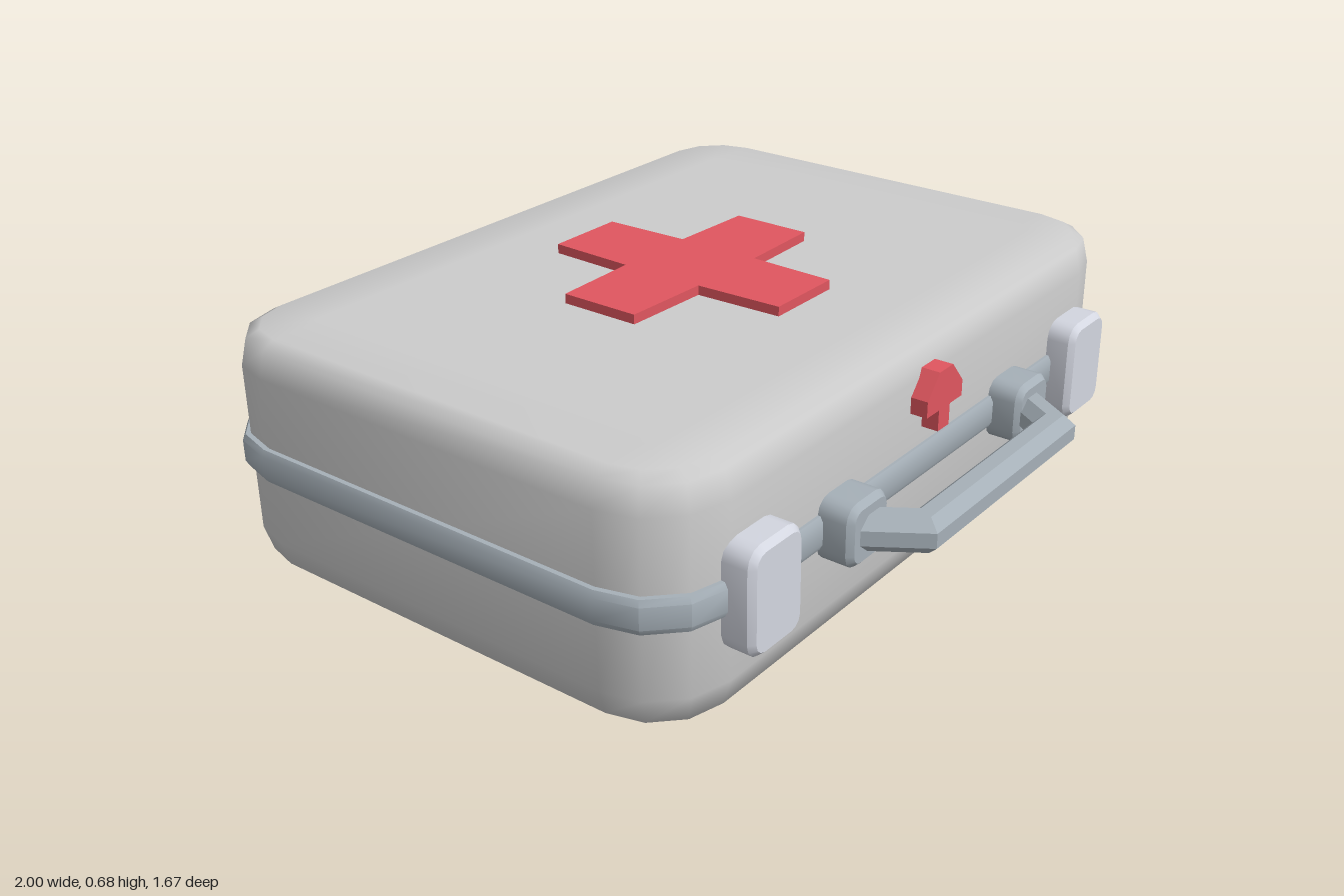
import * as THREE from 'three';
import { toCreasedNormals } from 'three/addons/utils/BufferGeometryUtils.js';

const material = (color) => new THREE.MeshStandardMaterial({ color });

// Skin a list of equal-length rings of points, closing both ends with fans
function loft(rings, crease) {
  const n = rings[0].length;
  const pos = [], index = [];
  rings.forEach((ring) => ring.forEach((p) => pos.push(p.x, p.y, p.z)));
  for (let i = 0; i < rings.length - 1; i++) {
    for (let j = 0; j < n; j++) {
      const a = i * n + j, b = i * n + (j + 1) % n;
      index.push(a, a + n, b, b, a + n, b + n);
    }
  }
  [rings[0], rings[rings.length - 1]].forEach((ring, end) => {
    const c = new THREE.Vector3();
    ring.forEach((p) => c.addScaledVector(p, 1 / n));
    const centre = pos.length / 3, start = end ? (rings.length - 1) * n : 0;
    pos.push(c.x, c.y, c.z);
    for (let j = 0; j < n; j++) {
      const a = start + j, b = start + (j + 1) % n;
      index.push(centre, end ? b : a, end ? a : b);
    }
  });
  const geo = new THREE.BufferGeometry();
  geo.setAttribute('position', new THREE.Float32BufferAttribute(pos, 3));
  geo.setIndex(index);
  return toCreasedNormals(geo, crease);
}

// Rounded-rectangle outline at height y, shrunk by an inset
function roundedRing(hx, hz, radius, y, inset, seg = 3) {
  const r = Math.max(radius - inset, 0.015), ring = [];
  for (let q = 0; q < 4; q++) {
    const sx = q === 0 || q === 3 ? 1 : -1, sz = q < 2 ? 1 : -1;
    for (let k = 0; k <= seg; k++) {
      const a = (q + k / seg) * Math.PI / 2;
      ring.push(new THREE.Vector3(
        sx * (hx - inset - r) + r * Math.cos(a), y,
        sz * (hz - inset - r) + r * Math.sin(a)));
    }
  }
  return ring;
}

// Rounded slab from a profile of [height, inset] pairs
const slab = (hx, hz, radius, profile, crease = 0.6) =>
  loft(profile.map(([y, inset]) => roundedRing(hx, hz, radius, y, inset)), crease);

// Cross outline with straight arms
function crossShape(arm, half) {
  const s = new THREE.Shape();
  const i = half + 0.008;
  for (let q = 0; q < 4; q++) {
    const c = Math.cos(q * Math.PI / 2), n = Math.sin(q * Math.PI / 2);
    [[arm, -half], [arm, half], [i, i]].forEach(([x, y], k) => {
      const px = x * c - y * n, py = x * n + y * c;
      if (q === 0 && k === 0) s.moveTo(px, py); else s.lineTo(px, py);
    });
  }
  return s;
}

export function createModel() {
  const group = new THREE.Group();
  const shell = material(0xcccccc), trim = material(0xa6b0b8);
  const metal = material(0xd3d6e0), red = material(0xe0565f);
  const midZ = -0.11;

  const add = (name, geo, mat, x = 0, y = 0, z = 0) => {
    const mesh = new THREE.Mesh(geo, mat);
    mesh.name = name;
    mesh.position.set(x, y, z);
    group.add(mesh);
    return mesh;
  };

  // Case shell with softened top and bottom edges
  add('caseBody', slab(0.98, 0.71, 0.2, [
    [0.05, 0.2], [0.05, 0.04], [0.063, 0.02], [0.13, 0],
    [0.57, 0], [0.637, 0.016], [0.655, 0.05], [0.655, 0.18],
  ], 1.0), shell, 0, 0, midZ);

  // Base plate and band around the seam
  add('basePlate', slab(0.875, 0.6, 0.1, [[0, 0], [0.06, 0]]), trim, 0, 0, midZ);
  add('seamBand', slab(1, 0.725, 0.21, [
    [0.305, 0.03], [0.305, 0.008], [0.32, 0], [0.375, 0], [0.39, 0.008], [0.39, 0.03],
  ]), trim, 0, 0, midZ);

  // Latches and handle mounts on the front
  const plate = (hx, hy, r, depth) => slab(hx, hy, r,
    [[0, 0], [depth - 0.015, 0], [depth, 0.014]], 0.6).rotateX(Math.PI / 2);
  for (const side of [-1, 1]) {
    const label = side > 0 ? 'left' : 'right';
    add(label + 'Latch', plate(0.093, 0.135, 0.045, 0.085), metal, side * 0.712, 0.345, 0.59);
    add(label + 'HandleMount', plate(0.078, 0.08, 0.04, 0.1), trim, side * 0.383, 0.348, 0.59);
  }

  // Handle: octagonal bar with mitred bends
  const path = [[0.39, 0.66], [0.308, 0.785], [-0.308, 0.785], [-0.39, 0.66]]
    .map(([x, z]) => new THREE.Vector2(x, z));
  const radius = 0.046;
  const rings = path.map((p, i) => {
    const before = path[Math.max(i, 1)].clone().sub(path[Math.max(i, 1) - 1]).normalize();
    const next = Math.min(i, path.length - 2);
    const after = path[next + 1].clone().sub(path[next]).normalize();
    const t = before.clone().add(after).normalize();
    const stretch = radius / t.dot(before);
    return Array.from({ length: 8 }, (_, k) => {
      const a = (k + 0.5) * Math.PI / 4, c = Math.cos(a) * stretch / Math.cos(Math.PI / 8);
      return new THREE.Vector3(p.x - t.y * c,
        0.345 + radius * Math.sin(a) / Math.cos(Math.PI / 8), p.y + t.x * c);
    });
  });
  add('handle', loft(rings, 0.5), trim);

  // Raised cross on the lid
  const lidCross = new THREE.ExtrudeGeometry(crossShape(0.355, 0.109),
    { depth: 0.04, bevelEnabled: false }).rotateX(-Math.PI / 2);
  add('lidCross', lidCross, red, 0, 0.64, -0.115);

  // Small emblem on the front
  const half = [[0.025, 0.435], [0.025, 0.49], [0.08, 0.49], [0.08, 0.532], [0.03, 0.59]];
  const outline = [...half, ...half.map(([x, y]) => [-x, y]).reverse()];
  const emblem = new THREE.Shape(outline.map(([x, y]) => new THREE.Vector2(x, y)));
  add('frontEmblem', new THREE.ExtrudeGeometry(emblem,
    { depth: 0.065, bevelEnabled: false }), red, 0, 0, 0.58);

  return group;
}
